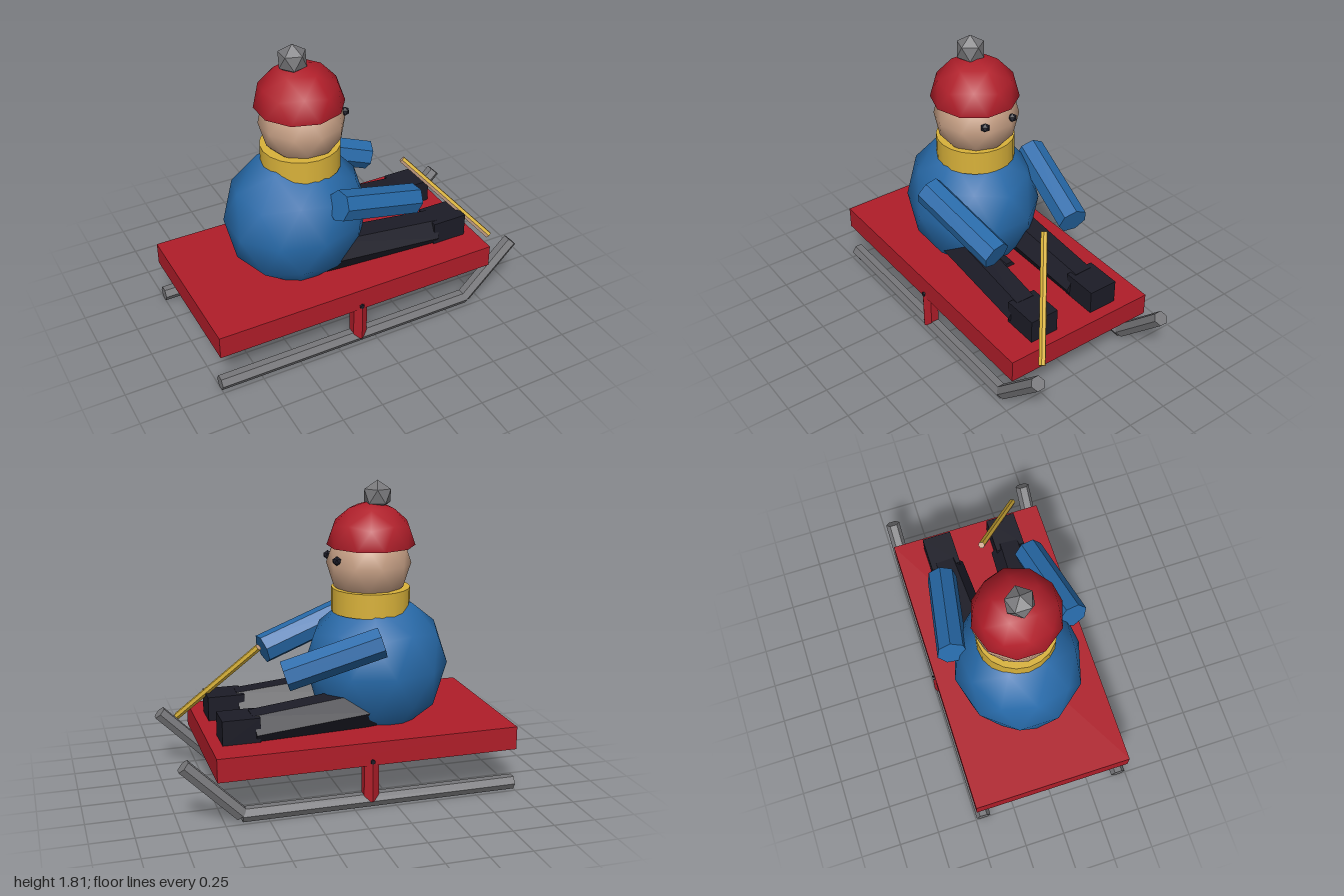
import * as THREE from 'three';

const paint = (name, color, extra = {}) => {
  const m = new THREE.MeshStandardMaterial({ color, ...extra });
  m.name = name;
  return m;
};

export function createModel() {
  const model = new THREE.Group();
  model.name = 'sledRider';

  const red = paint('red', 0xb01d29);
  const redCloth = paint('red cloth', 0xb01d29, { side: THREE.DoubleSide });
  const darkRed = paint('dark red', 0x550a12);
  const blue = paint('blue', 0x276aa9);
  const yellow = paint('yellow', 0xd9b23a);
  const skin = paint('skin', 0xc9a287);
  const grey = paint('grey', 0x77777a);
  const dark = paint('dark', 0x1c1c27);

  const add = (name, geometry, material, x = 0, y = 0, z = 0) => {
    const mesh = new THREE.Mesh(geometry, material);
    mesh.name = name;
    mesh.position.set(x, y, z);
    model.add(mesh);
    return mesh;
  };

  // Faceted rod between two points, optionally tapered
  const rod = (name, from, to, radius, material, sides = 6, endRadius = radius) => {
    const a = new THREE.Vector3(...from);
    const b = new THREE.Vector3(...to);
    const dir = b.clone().sub(a);
    const geometry = new THREE.CylinderGeometry(endRadius, radius, dir.length(), sides).toNonIndexed();
    geometry.computeVertexNormals();
    const mesh = add(name, geometry, material);
    mesh.position.copy(a).add(b).multiplyScalar(0.5);
    mesh.quaternion.setFromUnitVectors(new THREE.Vector3(0, 1, 0), dir.normalize());
    return mesh;
  };

  // Icosphere turned so that one corner points straight up
  const ball = (rx, ry, rz, detail) => {
    const geometry = new THREE.IcosahedronGeometry(1, detail);
    geometry.rotateZ(-Math.atan2(2, 1 + Math.sqrt(5)));
    return geometry.scale(rx, ry, rz);
  };

  // Upper half of an icosphere, open below
  const dome = (radius) => {
    const full = ball(radius, radius, radius, 1);
    const p = full.attributes.position;
    const n = full.attributes.normal;
    const positions = [];
    const normals = [];
    for (let i = 0; i < p.count; i += 3) {
      if (Math.min(p.getY(i), p.getY(i + 1), p.getY(i + 2)) < -0.001) continue;
      for (let k = i; k < i + 3; k++) {
        positions.push(p.getX(k), p.getY(k), p.getZ(k));
        normals.push(n.getX(k), n.getY(k), n.getZ(k));
      }
    }
    const half = new THREE.BufferGeometry();
    half.setAttribute('position', new THREE.Float32BufferAttribute(positions, 3));
    half.setAttribute('normal', new THREE.Float32BufferAttribute(normals, 3));
    return half;
  };

  // Sled deck with a darker underside, its axle and centre peg
  add('deck', new THREE.BoxGeometry(1.79, 0.14, 0.98), [red, red, red, darkRed, red, red], -0.105, 0.33, 0);
  rod('axle', [-0.105, 0.284, -0.502], [-0.105, 0.284, 0.502], 0.014, dark);
  rod('centrePeg', [-0.1, 0.388, 0], [0.1, 0.388, 0], 0.045, dark);

  // Rider's body, head and clothes
  add('body', ball(0.433, 0.447, 0.39, 1), blue, -0.284, 0.717, 0);
  add('head', ball(0.25, 0.25, 0.25, 1), skin, -0.233, 1.335, 0);
  add('scarf', new THREE.CylinderGeometry(0.233, 0.233, 0.145, 20), yellow, -0.246, 1.118, 0);
  add('hat', dome(0.26), redCloth, -0.246, 1.438, 0);
  add('pompom', ball(0.09, 0.09, 0.09, 0), grey, -0.283, 1.725, 0);

  // Parts repeated on both sides
  for (const s of [1, -1]) {
    const side = s > 0 ? 'Near' : 'Far';
    rod('runner' + side, [-1, 0.04, s * 0.45], [0.65, 0.04, s * 0.45], 0.0445, grey);
    rod('runnerTip' + side, [0.65, 0.045, s * 0.45], [0.97, 0.365, s * 0.45], 0.0445, grey);
    rod('strut' + side, [-0.105, 0.04, s * 0.45], [-0.105, 0.29, s * 0.45], 0.051, red);
    rod('arm' + side, [-0.195, 0.952, s * 0.37], [0.35, 0.772, s * 0.278], 0.091, blue, 7);
    rod('leg' + side, [-0.2, 0.515, s * 0.185], [0.53, 0.45, s * 0.21], 0.125, dark, 6, 0.113);
    add('boot' + side, new THREE.BoxGeometry(0.22, 0.15, 0.182), dark, 0.61, 0.47, s * 0.214);
    add('eye' + side, ball(0.028, 0.028, 0.028, 0), dark, -0.01, 1.372, s * 0.095);
  }

  // Steering stick with bare wooden ends and one bare facet
  const stick = rod('stick', [0.435, 0.868, 0.005], [0.877, 0.368, 0.35], 0.021, [yellow, skin, skin]);
  const facets = stick.geometry;
  facets.clearGroups();
  facets.addGroup(0, 30, 0);
  facets.addGroup(30, 42, 1);

  return model;
}
